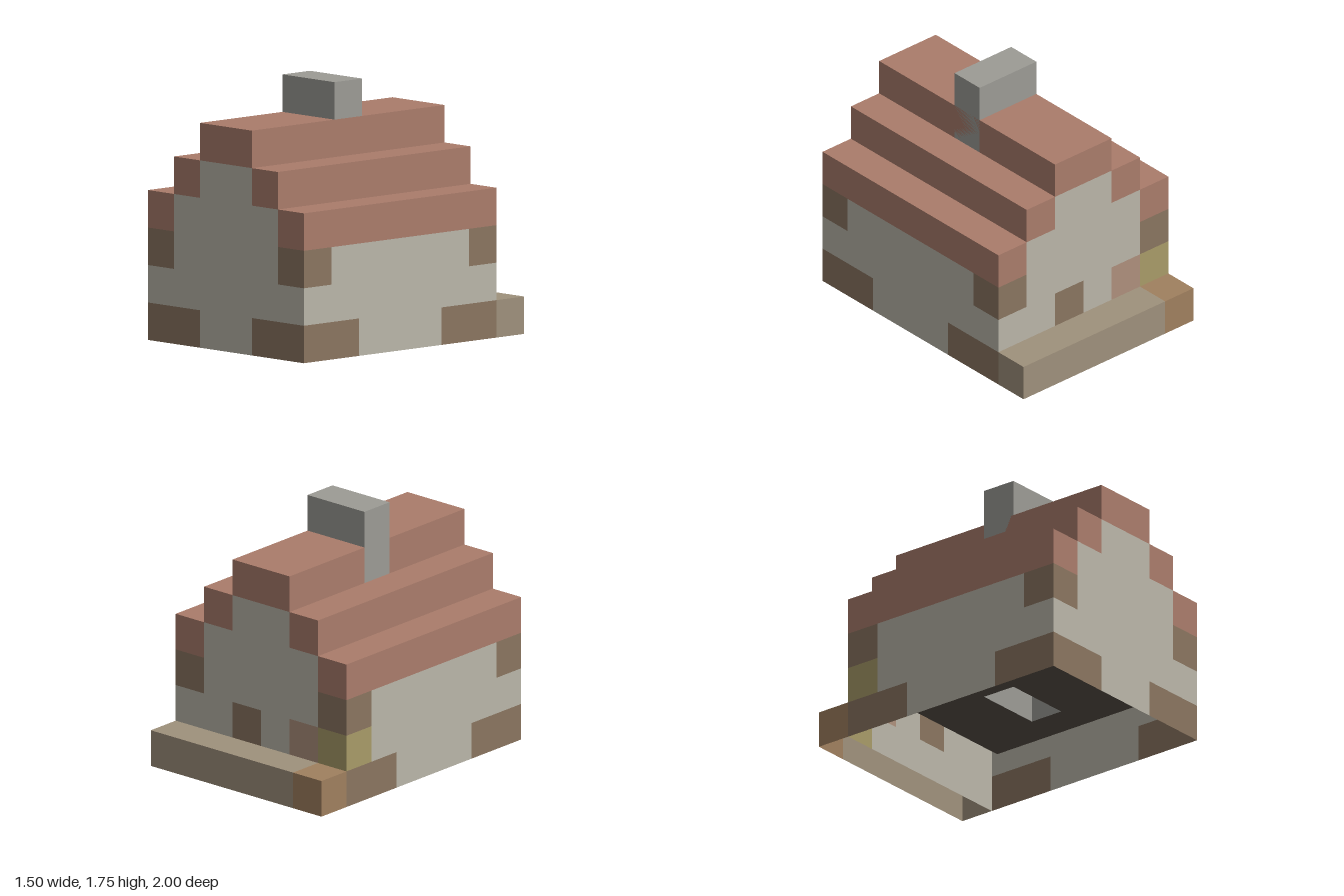
import * as THREE from 'three';

const CELL = 0.25;
const COLORS = {
  G: 0xbab6a9, // plaster
  B: 0x8a7560, // timber
  R: 0xaa7c6b, // roof tile
  S: 0x9c9b95, // chimney stone
  P: 0x9f917c, // step
  O: 0xa0805f, // worn step end
  Y: 0xa89b68, // straw
  T: 0xae907c, // clay
  D: 0x5a5148, // dark floor
};
const materials = {};
for (const key in COLORS) {
  materials[key] = new THREE.MeshStandardMaterial({ color: COLORS[key], side: THREE.DoubleSide, flatShading: true });
}

const AXES = {
  x: [1, 0, 0], '-x': [-1, 0, 0], y: [0, 1, 0], z: [0, 0, 1], '-z': [0, 0, -1],
};

// Flat panel of square cells: each string is a row along u, rows stack along v, a space is a gap
function panel(name, origin, uAxis, vAxis, rows) {
  const group = new THREE.Group();
  group.name = name;
  const o = new THREE.Vector3(...origin);
  const u = new THREE.Vector3(...AXES[uAxis]);
  const v = new THREE.Vector3(...AXES[vAxis]);
  const at = (i, j) => o.clone().addScaledVector(u, i * CELL).addScaledVector(v, j * CELL);
  const points = {};
  rows.forEach((row, j) => {
    for (let i = 0; i < row.length;) {
      let end = i + 1;
      while (row[end] === row[i]) end++;
      if (row[i] !== ' ') {
        const [a, b, c, d] = [at(i, j), at(end, j), at(end, j + 1), at(i, j + 1)];
        (points[row[i]] ??= []).push(a, b, c, a, c, d);
      }
      i = end;
    }
  });
  for (const key in points) {
    const geometry = new THREE.BufferGeometry().setFromPoints(points[key]);
    geometry.computeVertexNormals();
    const mesh = new THREE.Mesh(geometry, materials[key]);
    mesh.name = name;
    group.add(mesh);
  }
  return group;
}

const fill = (key, columns, rows) => Array(rows).fill(key.repeat(columns));

export function createModel() {
  const model = new THREE.Group();
  model.name = 'house';
  const add = (...args) => model.add(panel(...args));

  // Stepped gable walls
  const gableTop = ['BGGGGB', 'RGGGGR', ' RGGR ', '  RR  '];
  add('frontGable', [-0.75, 0, 1], 'x', 'y', ['BBGGBB', 'GGGGGG', ...gableTop]);
  add('backGable', [0.75, 0, -0.75], '-x', 'y', ['GGGGGY', 'GGBGTY', ...gableTop]);

  // Side walls with the lowest roof course
  const sideTop = ['BGGGGGB', 'RRRRRRR'];
  add('leftWall', [0.75, 0, 1], '-z', 'y', ['BBGGGBB', 'GGGGGGG', ...sideTop]);
  add('rightWall', [-0.75, 0, -0.75], 'z', 'y', ['BBGGGBB', 'YGGGGGG', ...sideTop]);

  // Roof steps, mirrored on both sides
  for (const [half, y] of [[0.5, 1], [0.25, 1.25]]) {
    add('leftRoofRiser', [half, y, 1], '-z', 'y', fill('R', 7, 1));
    add('rightRoofRiser', [-half, y, -0.75], 'z', 'y', fill('R', 7, 1));
    add('leftRoofTread', [half, y, 1], 'x', '-z', fill('R', 1, 7));
    add('rightRoofTread', [-half - CELL, y, 1], 'x', '-z', fill('R', 1, 7));
  }
  // Ridge, open where the chimney passes
  add('roofRidge', [-0.25, 1.5, 1], 'x', '-z', ['RR', 'RR', 'RR', '  ', 'RR', 'RR', 'RR']);

  // Chimney shaft, from the floor to above the ridge
  add('chimneyFront', [-0.25, 0.25, 0.25], 'x', 'y', fill('S', 2, 6));
  add('chimneyBack', [0.25, 0.25, 0], '-x', 'y', fill('S', 2, 6));
  add('chimneyLeft', [0.25, 0.25, 0.25], '-z', 'y', fill('S', 1, 6));
  add('chimneyRight', [-0.25, 0.25, 0], 'z', 'y', fill('S', 1, 6));
  add('chimneyTop', [-0.25, 1.75, 0.25], 'x', '-z', fill('S', 2, 1));

  // Raised floor with the shaft opening
  add('floor', [-0.5, 0.25, -0.5], 'x', 'z', ['DDDD', 'DDDD', 'D  D', 'DDDD', 'DDDD']);

  // Low step along the back
  add('stepTop', [-0.75, 0.25, -0.75], 'x', '-z', ['OPPPPP']);
  add('stepBack', [0.75, 0, -1], '-x', 'y', ['PPPPPO']);
  add('stepLeftEnd', [0.75, 0, -0.75], '-z', 'y', ['P']);
  add('stepRightEnd', [-0.75, 0, -1], 'z', 'y', ['O']);

  return model;
}
